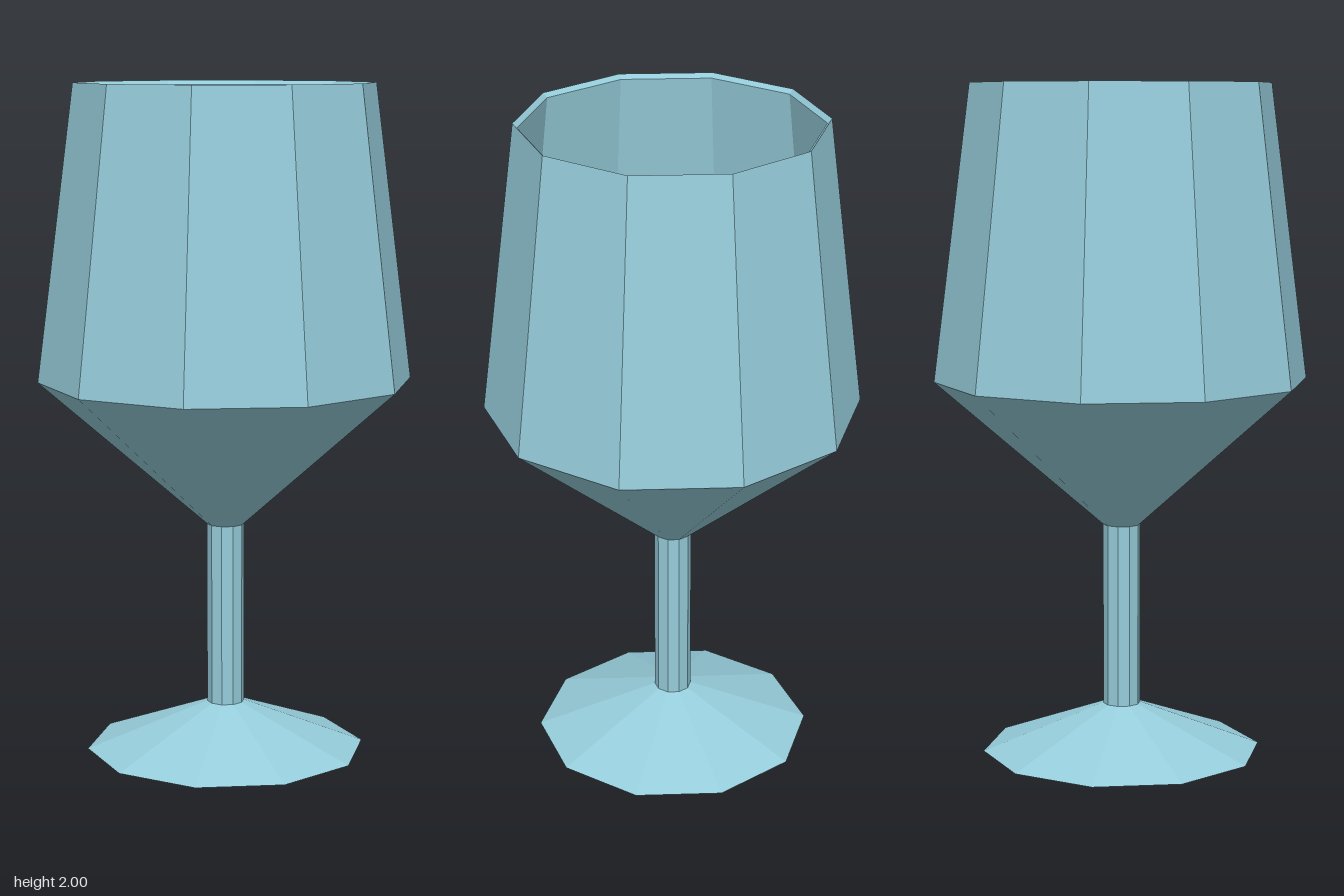
import * as THREE from 'three';

const SIDES = 10;
const glass = new THREE.MeshStandardMaterial({ color: 0x96cddb, flatShading: true });
const wine = new THREE.MeshStandardMaterial({ color: 0x66222b, flatShading: true });

// Faceted part turned from a [radius, height] profile, listed bottom-up on the outside
function turned(name, profile, material) {
  const points = profile.map(([r, y]) => new THREE.Vector2(r, y));
  const mesh = new THREE.Mesh(new THREE.LatheGeometry(points, SIDES), material);
  mesh.name = name;
  return mesh;
}

export function createModel() {
  const group = new THREE.Group();
  group.name = 'wineGlass';

  // Flared foot with a closed underside
  group.add(turned('foot', [[0, 0], [0.42, 0], [0.056, 0.14]], glass));

  // Slim stem
  group.add(turned('stem', [[0.056, 0.14], [0.056, 0.69]], glass));

  // Bowl: outer cone and wall, bevelled rim, then the inner wall and cone
  group.add(turned('bowl', [
    [0.056, 0.69], [0.557, 1.125], [0.445, 2],
    [0.432, 1.987], [0.54, 1.13], [0, 0.71],
  ], glass));

  // Liquid surface inside the bowl
  group.add(turned('wineSurface', [[0.53, 1.2], [0, 1.2]], wine));

  return group;
}
